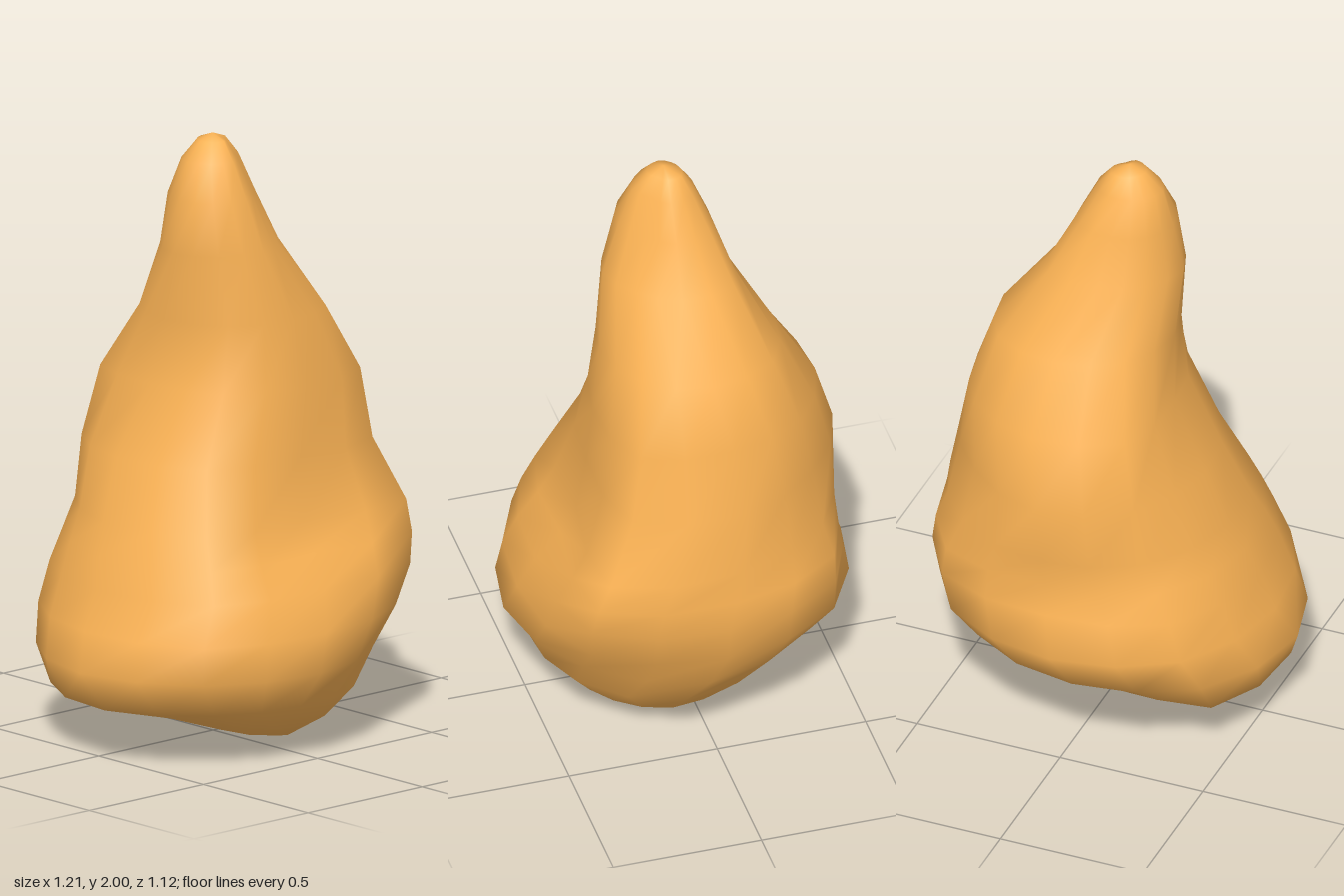
import * as THREE from 'three';

// Each section: height, then its reach from the axis towards
// +x, +x+z, +z, -x+z, -x, -x-z, -z, +x-z.
const sections = [
  [0, 0.17, 0.22, 0.21, 0.06, -0.1, -0.08, 0, 0.12],
  [0.08, 0.35, 0.38, 0.37, 0.37, 0.18, 0.24, 0.16, 0.27],
  [0.18, 0.45, 0.46, 0.48, 0.52, 0.56, 0.52, 0.29, 0.39],
  [0.3, 0.53, 0.52, 0.56, 0.605, 0.61, 0.57, 0.5, 0.5],
  [0.42, 0.575, 0.59, 0.53, 0.595, 0.55, 0.565, 0.56, 0.59],
  [0.55, 0.6, 0.635, 0.48, 0.545, 0.5, 0.53, 0.51, 0.61],
  [0.65, 0.585, 0.64, 0.4, 0.5, 0.46, 0.49, 0.485, 0.6],
  [0.75, 0.56, 0.62, 0.35, 0.45, 0.41, 0.45, 0.5, 0.55],
  [0.95, 0.515, 0.51, 0.32, 0.345, 0.34, 0.43, 0.51, 0.51],
  [1.18, 0.47, 0.47, 0.31, 0.255, 0.22, 0.37, 0.44, 0.49],
  [1.4, 0.4, 0.36, 0.28, 0.22, 0.2, 0.24, 0.31, 0.4],
  [1.63, 0.22, 0.21, 0.24, 0.22, 0.21, 0.17, 0.17, 0.24],
  [1.8, 0.14, 0.13, 0.18, 0.2, 0.175, 0.145, 0.12, 0.14],
  [1.92, 0.08, 0.08, 0.13, 0.14, 0.14, 0.1, 0.07, 0.07],
  [1.98, 0.03, 0.04, 0.08, 0.09, 0.08, 0.05, 0.03, 0.03],
];
const SIDES = 16;

// Rounded closed outline through the eight reach points of a section
function outline([y, ...reach]) {
  const cx = (reach[0] - reach[4]) / 2;
  const cz = (reach[2] - reach[6]) / 2;
  const points = reach.map((r, k) => {
    const dx = Math.cos(k * Math.PI / 4), dz = Math.sin(k * Math.PI / 4);
    const d = r - cx * dx - cz * dz;
    return new THREE.Vector3(cx + dx * d, y, cz + dz * d);
  });
  const curve = new THREE.CatmullRomCurve3(points, true, 'catmullrom', 0.5);
  const ring = [];
  for (let j = 0; j < SIDES; j++) ring.push(curve.getPoint(j / SIDES));
  return { ring, centre: new THREE.Vector3(cx, y, cz) };
}

// Skin the outlines from base to tip and close both ends
function loft(rows) {
  const outlines = rows.map(outline);
  const vertices = outlines.flatMap(o => o.ring);
  const base = vertices.push(outlines[0].centre) - 1;
  const tip = vertices.push(outlines.at(-1).centre.clone().setY(2)) - 1;
  const last = (rows.length - 1) * SIDES;
  const index = [];
  for (let j = 0; j < SIDES; j++) {
    const k = (j + 1) % SIDES;
    for (let i = 0; i < last; i += SIDES) {
      index.push(i + j, i + SIDES + j, i + k);
      index.push(i + k, i + SIDES + j, i + SIDES + k);
    }
    index.push(base, j, k, tip, last + k, last + j);
  }
  const geometry = new THREE.BufferGeometry().setFromPoints(vertices);
  geometry.setIndex(index);
  geometry.computeVertexNormals();
  return geometry;
}

export function createModel() {
  const group = new THREE.Group();
  group.name = 'taperedLump';
  const body = new THREE.Mesh(loft(sections), new THREE.MeshStandardMaterial({ color: 0xfab254 }));
  body.name = 'body';
  group.add(body);
  return group;
}
